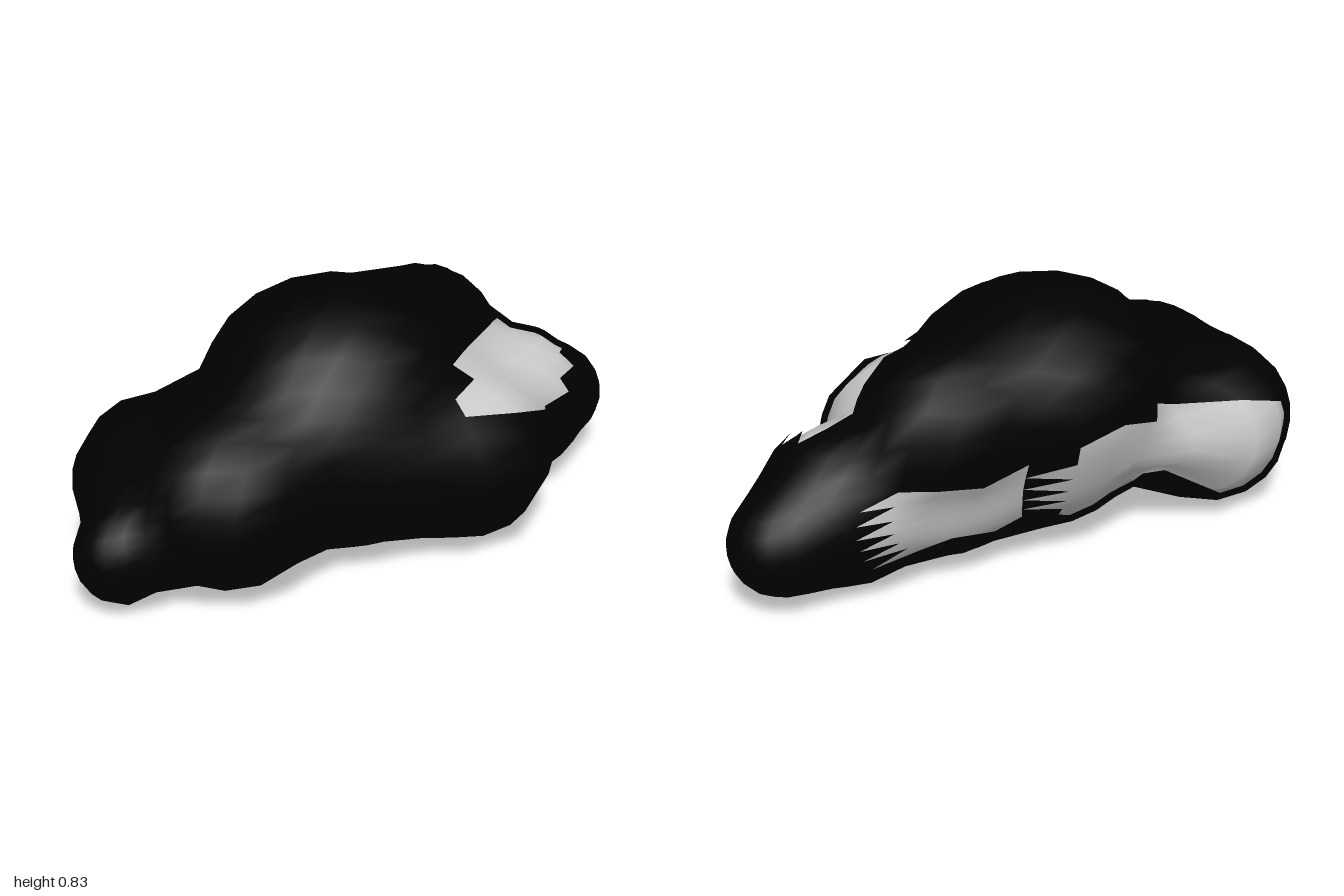
import * as THREE from 'three';
import { mergeVertices } from 'three/addons/utils/BufferGeometryUtils.js';

const V = (a) => new THREE.Vector3(...a);

// Puffs of the cloud: centre, radii
const PUFFS = [
  [[-0.85, 0.18, 0.05], [0.15, 0.16, 0.14]],    // left tip
  [[-0.52, 0.31, 0.09], [0.3, 0.29, 0.3]],      // front left
  [[-0.63, 0.28, -0.14], [0.27, 0.27, 0.26]],   // back left
  [[-0.06, 0.5, -0.07], [0.42, 0.33, 0.39]],    // crown
  [[-0.06, 0.33, 0], [0.4, 0.32, 0.375]],       // core
  [[0.25, 0.29, 0.16], [0.3, 0.28, 0.295]],     // front right
  [[0.34, 0.5, -0.2], [0.24, 0.25, 0.26]],      // back right, upper
  [[0.28, 0.25, -0.12], [0.25, 0.22, 0.22]],    // back right, lower
  [[0.6, 0.26, -0.1], [0.27, 0.26, 0.25]],      // right
  [[0.83, 0.21, -0.17], [0.17, 0.165, 0.16]],   // right tip
].map(([c, r]) => ({ c: V(c), r: V(r) }));

// Openings in the dark shell: everything within a radius of a short line
const OPENINGS = [
  [[0.32, 0.54, 0.25], [0.59, 0.45, 0], 0.15],
  [[0.25, 0.3, -0.32], [0.47, 0.28, -0.33], 0.14],
  [[-0.45, 0.3, -0.4], [-0.08, 0.3, -0.4], 0.17],
  [[-0.68, 0.25, -0.38], [-0.5, 0.29, -0.38], 0.16],
].map(([a, b, r]) => ({ line: new THREE.Line3(V(a), V(b)), r }));

const isOpen = (p) => OPENINGS.some(({ line, r }) =>
  line.closestPointToPoint(p, true, new THREE.Vector3()).distanceTo(p) < r);

// Approximate signed distance to one puff
function puffDistance(p, { c, r }) {
  const q = p.clone().sub(c).divide(r);
  const k = q.length();
  return k * (k - 1) / Math.max(q.divide(r).length(), 1e-6);
}

// All puffs joined with softened valleys
const BLEND = 0.09;
function cloudDistance(p) {
  return PUFFS.reduce((d, puff) => {
    const e = puffDistance(p, puff);
    const h = Math.max(BLEND - Math.abs(d - e), 0);
    return Math.min(d, e) - h * h / (4 * BLEND);
  }, 10);
}

// Outermost point of the cloud along a direction, seen from its long spine
function surfacePoint(dir) {
  const origin = new THREE.Vector3(
    0.8 * dir.x, 0.2 + 0.13 * (1 - dir.x * dir.x), -0.06 - 0.12 * dir.x);
  const at = (t) => origin.clone().addScaledVector(dir, t);
  let t = 0.9;
  while (t > 0.02 && cloudDistance(at(t)) > 0) t -= 0.01;
  let inside = t, outside = t + 0.01;
  for (let i = 0; i < 8; i++) {
    const mid = (inside + outside) / 2;
    if (cloudDistance(at(mid)) > 0) outside = mid; else inside = mid;
  }
  return at(inside);
}

export function createModel() {
  const cloud = new THREE.Group();
  cloud.name = 'cloud';

  // One skin wrapped over all the puffs
  let skin = new THREE.IcosahedronGeometry(1, 7);
  skin.deleteAttribute('normal');
  skin.deleteAttribute('uv');
  skin = mergeVertices(skin, 1e-4);
  const pos = skin.attributes.position;
  const point = (i) => new THREE.Vector3().fromBufferAttribute(pos, i);
  for (let i = 0; i < pos.count; i++) {
    pos.setXYZ(i, ...surfacePoint(point(i).normalize()).toArray());
  }
  skin.computeBoundingBox();
  skin.translate(0, -skin.boundingBox.min.y, 0);
  skin.computeVertexNormals();

  // Pale body, set slightly inside the skin
  const body = skin.clone();
  const normal = new THREE.Vector3();
  for (let i = 0; i < pos.count; i++) {
    normal.fromBufferAttribute(skin.attributes.normal, i);
    body.attributes.position.setXYZ(i, ...point(i).addScaledVector(normal, -0.02).toArray());
  }

  // Dark shell: the skin with ragged openings
  const shell = skin.clone();
  const kept = [];
  for (let i = 0; i < skin.index.count; i += 3) {
    const tri = [0, 1, 2].map((k) => skin.index.getX(i + k));
    const mid = tri.reduce((s, v) => s.add(point(v)), new THREE.Vector3()).divideScalar(3);
    if (!isOpen(mid)) kept.push(...tri);
  }
  shell.setIndex(kept);

  const bodyMesh = new THREE.Mesh(body, new THREE.MeshStandardMaterial({ color: 0xcccccc }));
  bodyMesh.name = 'paleBody';
  const shellMesh = new THREE.Mesh(shell,
    new THREE.MeshStandardMaterial({ color: 0x000000, side: THREE.DoubleSide }));
  shellMesh.name = 'darkShell';
  cloud.add(bodyMesh, shellMesh);
  return cloud;
}
